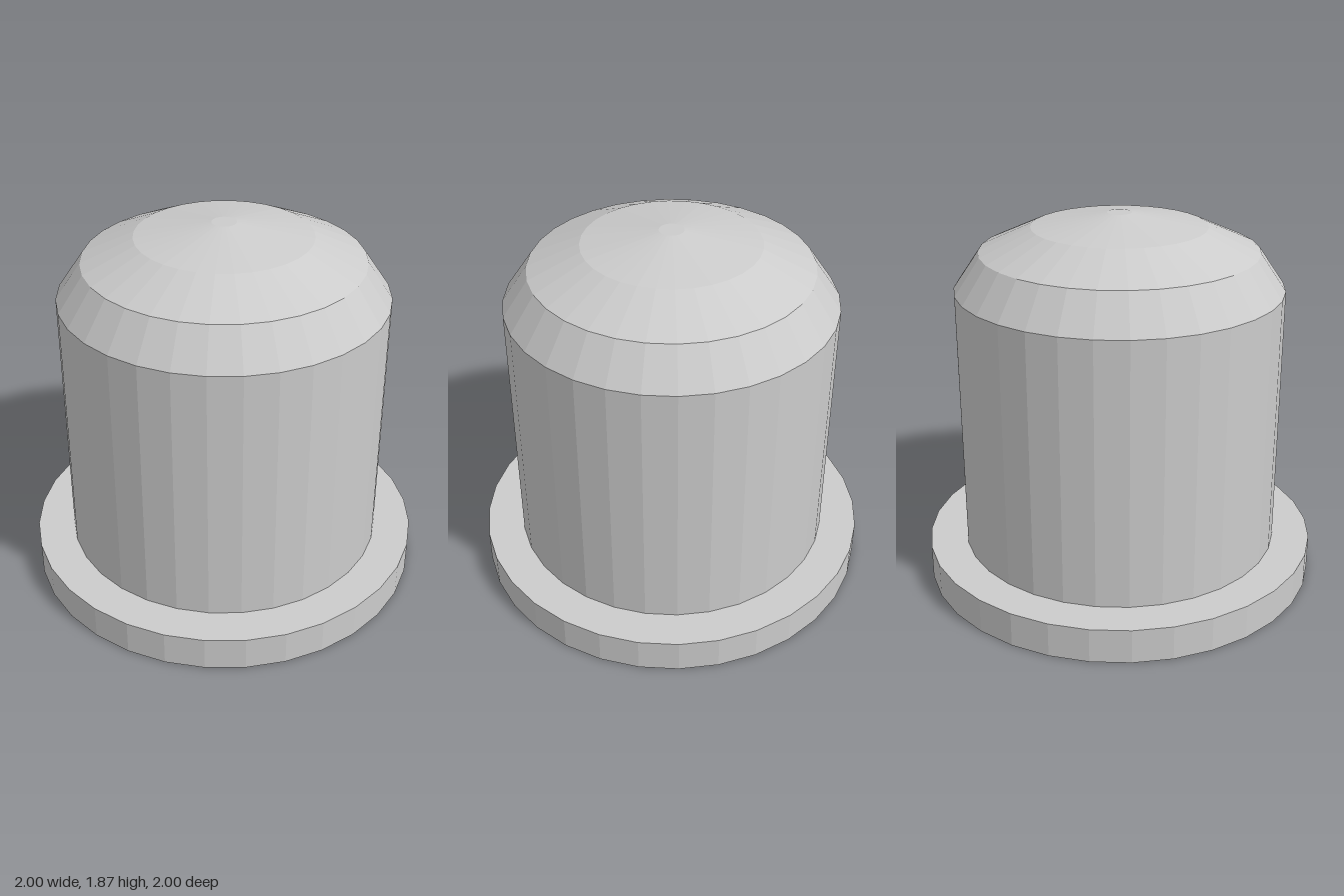
import * as THREE from 'three';

const SIDES = 32;

export function createModel() {
  const group = new THREE.Group();
  const material = new THREE.MeshStandardMaterial({ color: 0xcccccc, flatShading: true });

  // Turns an outline of [radius, height] pairs into a faceted solid
  const addTurned = (name, outline) => {
    const points = outline.map(([r, y]) => new THREE.Vector2(r, y));
    const mesh = new THREE.Mesh(new THREE.LatheGeometry(points, SIDES), material);
    mesh.name = name;
    group.add(mesh);
  };

  // Flat disc at the foot, with the ring-shaped ledge around the body
  addTurned('baseFlange', [[0, 0], [1, 0], [1, 0.175], [0.81, 0.175]]);

  // Straight cylindrical wall
  addTurned('body', [[0.81, 0.175], [0.81, 1.505]]);

  // Stepped dome ending in a tiny flat tip
  addTurned('domeCap', [[0.81, 1.505], [0.685, 1.687], [0.43, 1.803], [0.06, 1.868], [0, 1.868]]);

  return group;
}
